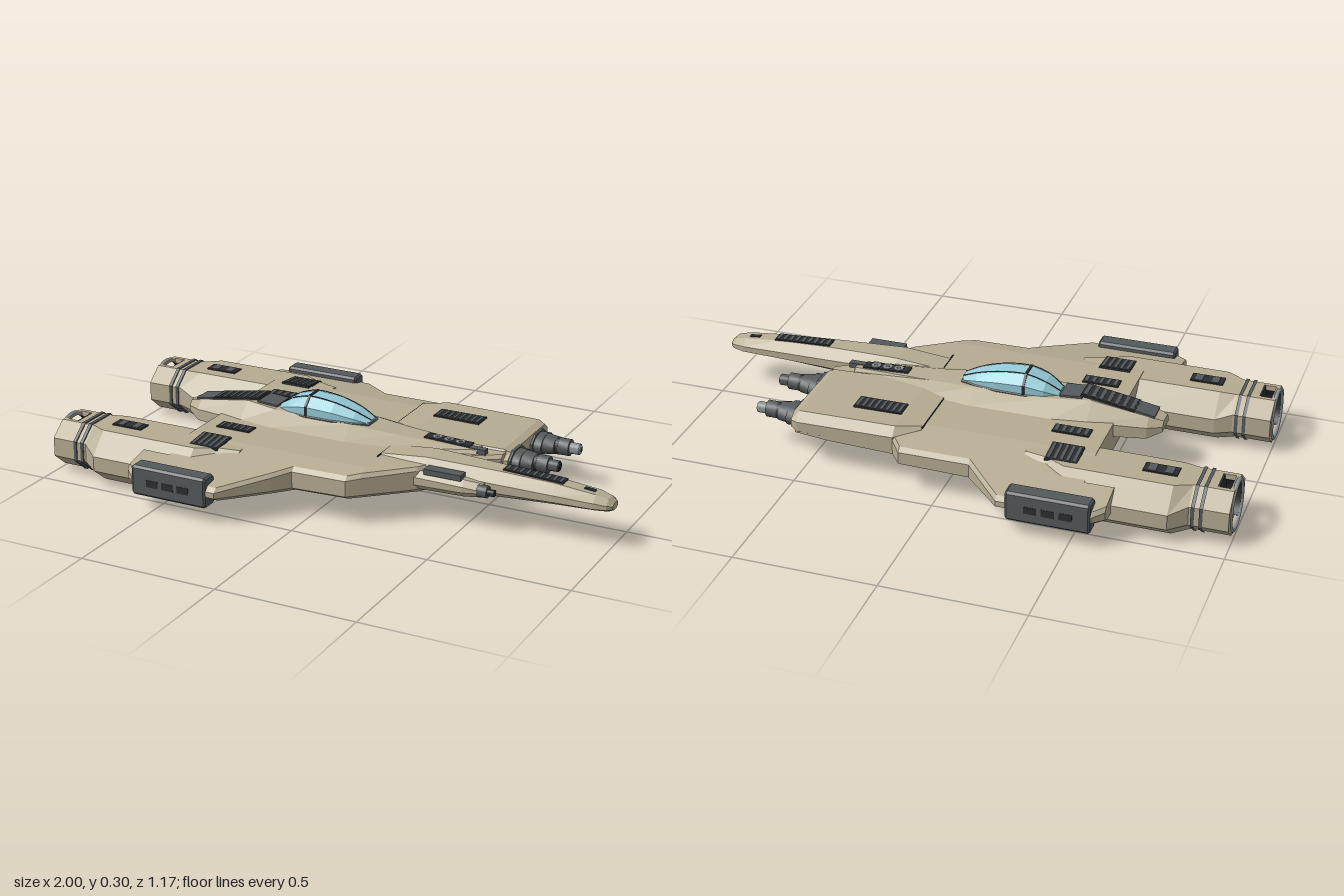
import * as THREE from 'three';
import { toCreasedNormals } from 'three/addons/utils/BufferGeometryUtils.js';

const mat = (name, color, side = THREE.FrontSide) => {
  const m = new THREE.MeshStandardMaterial({ color, side });
  m.name = name;
  return m;
};

// Flat-faced skin through rings of [x, y, z] points, with fan caps at both ends
function loft(rings, capStart = true, capEnd = true) {
  const pos = [];
  const tri = (a, b, c) => pos.push(...a, ...b, ...c);
  const n = rings[0].length;
  const middle = r => [0, 1, 2].map(k => r.reduce((s, p) => s + p[k], 0) / n);
  for (let i = 0; i < rings.length - 1; i++) for (let j = 0; j < n; j++) {
    const k = (j + 1) % n, a = rings[i], b = rings[i + 1];
    tri(a[j], b[j], b[k]);
    tri(a[j], b[k], a[k]);
  }
  const first = rings[0], last = rings[rings.length - 1];
  for (let j = 0; j < n; j++) {
    const k = (j + 1) % n;
    if (capStart) tri(middle(first), first[j], first[k]);
    if (capEnd) tri(middle(last), last[k], last[j]);
  }
  const g = new THREE.BufferGeometry();
  g.setAttribute('position', new THREE.Float32BufferAttribute(pos, 3));
  g.computeVertexNormals();
  return g;
}

// Eight-sided section: z range, y range, corner cuts across z, lower and upper corner cuts in y
function oct(x, z0, z1, y0, y1, cz, cyLow, cyHigh = cyLow) {
  return [[x, y0, z1 - cz], [x, y0 + cyLow, z1], [x, y1 - cyHigh, z1], [x, y1, z1 - cz],
    [x, y1, z0 + cz], [x, y1 - cyHigh, z0], [x, y0 + cyLow, z0], [x, y0, z0 + cz]];
}

export function createModel() {
  const model = new THREE.Group();
  model.name = 'spacecraft';
  const tan = mat('hullTan', 0xb6ac92);
  const grey = mat('metalGrey', 0x54595b);
  const dark = mat('ventDark', 0x2b2e30, THREE.DoubleSide);
  const light = mat('lightMetal', 0x8d9396);
  const glass = mat('canopyGlass', 0x95cbd8);
  const glow = mat('lensCyan', 0x9fe3ea);

  const add = (name, geo, m, parent = model) => {
    const mesh = new THREE.Mesh(geo, m);
    mesh.name = name;
    parent.add(mesh);
    return mesh;
  };
  const box = (name, m, x, y, z, l, h, w, parent) => {
    const b = add(name, new THREE.BoxGeometry(l, h, w), m, parent);
    b.position.set(x, y, z);
    return b;
  };
  // Round part along x, optionally widened across z
  const cyl = (name, m, x0, x1, y, z, r0, r1 = r0, wide = 1) => {
    const g = new THREE.CylinderGeometry(r1, r0, x1 - x0, 16).rotateZ(-Math.PI / 2).scale(1, 1, wide);
    add(name, toCreasedNormals(g, 0.7), m).position.set((x0 + x1) / 2, y, z);
  };
  // Flat shape in the (z, y) plane, given thickness from x0 to x1
  const slab = (shape, x0, x1) =>
    new THREE.ExtrudeGeometry(shape, { depth: x1 - x0, bevelEnabled: false, curveSegments: 20 })
      .rotateY(-Math.PI / 2).translate(x1, 0, 0);
  // Dark recess plate crossed by grey slats
  const vent = (name, x, y, z, l, w, n, tiltZ = 0, tiltX = 0) => {
    const v = new THREE.Group();
    v.name = name;
    v.position.set(x, y, z);
    v.rotation.set(tiltX, 0, tiltZ);
    box('ventPlate', dark, 0, 0, 0, l, 0.008, w, v);
    for (let i = 0; i < n; i++)
      box('ventSlat', grey, ((i + 0.5) / n - 0.5) * l, 0.004, 0, (l / n) * 0.45, 0.004, w * 0.86, v);
    model.add(v);
  };

  // Main hull: stations of x, right edge, left edge, underside height
  const top = z => 0.19 - 0.06 * Math.max(0, (Math.abs(z) - 0.3) / 0.28);
  const hullRing = ([x, r, l, yb]) => {
    const shoulderL = Math.min(0.3, l - 0.03), shoulderR = Math.max(-0.3, r + 0.03);
    return [[x, yb, l - 0.025], [x, yb + 0.015, l], [x, top(l) - 0.012, l], [x, top(l - 0.015), l - 0.015],
      [x, 0.19, shoulderL], [x, 0.19, shoulderR],
      [x, top(r + 0.015), r + 0.015], [x, top(r) - 0.012, r], [x, yb + 0.015, r], [x, yb, r + 0.025]];
  };
  add('mainHull', loft([[-0.51, -0.58, 0.58, 0.083], [-0.25, -0.58, 0.58, 0.083], [-0.11, -0.44, 0.44, 0.085],
    [-0.06, -0.44, 0.385, 0.086], [0.14, -0.44, 0.38, 0.09], [0.18, -0.39, 0.35, 0.092],
    [0.33, -0.39, 0.23, 0.097], [0.42, -0.39, 0.08, 0.1], [0.54, -0.385, 0.0, 0.108]].map(hullRing)), tan);

  // Raised forward block beside the prong
  add('forwardBlock', loft([oct(0.095, -0.33, 0.0, 0.12, 0.194, 0.01, 0.01), oct(0.18, -0.39, 0.0, 0.11, 0.2, 0.03, 0.02, 0.03),
    oct(0.53, -0.39, -0.015, 0.11, 0.196, 0.03, 0.02, 0.03), oct(0.555, -0.38, -0.02, 0.12, 0.186, 0.03, 0.02)]), tan);
  box('blockSeam', dark, 0.094, 0.191, -0.2, 0.004, 0.006, 0.26);
  box('prongRootSeam', dark, 0.17, 0.191, 0.13, 0.004, 0.006, 0.14);

  // Cockpit spine
  const spine = [[-0.67, 0.04, 0.025, 0.16, 0.178, 0.195], [-0.62, 0.068, 0.04, 0.14, 0.18, 0.21],
    [-0.42, 0.11, 0.05, 0.14, 0.188, 0.243], [-0.3, 0.128, 0.062, 0.14, 0.19, 0.234],
    [0, 0.13, 0.062, 0.14, 0.19, 0.228], [0.17, 0.105, 0.045, 0.14, 0.19, 0.216], [0.46, 0.03, 0.022, 0.14, 0.19, 0.205]];
  add('cockpitSpine', loft(spine.map(([x, w, wt, y0, ym, y1]) =>
    [[x, y0, w], [x, ym, w], [x, y1, wt], [x, y1, -wt], [x, ym, -w], [x, y0, -w]])), tan);
  box('rearDeckTail', grey, -0.605, 0.214, 0, 0.07, 0.008, 0.075).rotation.z = 0.165;
  vent('rearDeckVent', -0.475, 0.2365, 0, 0.195, 0.085, 7, 0.165);
  box('rearDeckPlate', grey, -0.345, 0.24, 0, 0.08, 0.009, 0.09).rotation.z = -0.075;
  // Row of round lenses on the spine
  box('spineInstrumentPlate', dark, 0.345, 0.2115, 0, 0.17, 0.007, 0.042).rotation.z = -0.038;
  for (const x of [0.302, 0.345, 0.388]) {
    const y = 0.2165 - (x - 0.3) * 0.038;
    add('spineLens', new THREE.CylinderGeometry(0.0175, 0.0175, 0.006, 16), light).position.set(x, y, 0);
    add('spineLensCore', new THREE.CylinderGeometry(0.008, 0.008, 0.008, 12), grey).position.set(x, y, 0);
  }
  box('spineSensor', grey, 0.46, 0.198, 0.01, 0.06, 0.02, 0.025);

  // Canopy with frame hoop, sill and ridge bars
  const canopy = [[-0.3, 0.036, 0.243], [-0.25, 0.06, 0.275], [-0.18, 0.066, 0.295], [-0.08, 0.064, 0.287],
    [0, 0.052, 0.265], [0.055, 0.032, 0.24]];
  const canopyRing = (x, w, y) => oct(x, -w, w, 0.215, y, w * 0.5, 0.01, (y - 0.215) * 0.4);
  add('canopyGlass', loft(canopy.map(p => canopyRing(...p))), glass);
  add('canopyHoop', loft([canopyRing(-0.184, 0.068, 0.298), canopyRing(-0.175, 0.068, 0.298)]), dark);
  add('canopySill', loft(canopy.map(([x, w]) => oct(x, -w - 0.004, w + 0.004, 0.2, 0.234, 0.006, 0.005))), grey);
  for (const s of [1, -1]) {
    const path = new THREE.CatmullRomCurve3(canopy.map(([x, w, y]) => new THREE.Vector3(x, y, s * w * 0.5)));
    add('canopyRidgeBar', new THREE.TubeGeometry(path, 16, 0.0018, 5), dark);
  }

  // Long nose prong on the left
  add('noseProng', loft([oct(0.17, 0.05, 0.2, 0.1, 0.194, 0.03, 0.02, 0.03), oct(0.34, 0.05, 0.2, 0.1, 0.21, 0.03, 0.02, 0.035),
    oct(0.6, 0.057, 0.192, 0.112, 0.204, 0.035, 0.025, 0.035), oct(0.8, 0.062, 0.185, 0.121, 0.195, 0.035, 0.02, 0.03),
    oct(0.94, 0.068, 0.178, 0.126, 0.181, 0.03, 0.015, 0.02), oct(0.983, 0.082, 0.167, 0.128, 0.172, 0.025, 0.013, 0.016),
    oct(1, 0.1, 0.15, 0.134, 0.158, 0.015, 0.007)]), tan);
  vent('prongVent', 0.715, 0.199, 0.12, 0.215, 0.048, 9, -0.045);
  box('prongTipSlot', dark, 0.91, 0.184, 0.12, 0.04, 0.006, 0.016).rotation.z = -0.1;

  // Small gun beside the prong
  add('sideGunFairing', loft([oct(0.2, 0.17, 0.2, 0.12, 0.17, 0.01, 0.01), oct(0.31, 0.17, 0.235, 0.11, 0.178, 0.02, 0.02),
    oct(0.5, 0.17, 0.235, 0.115, 0.175, 0.02, 0.02), oct(0.565, 0.17, 0.225, 0.12, 0.168, 0.02, 0.02)]), tan);
  box('sideGunCover', grey, 0.425, 0.182, 0.209, 0.135, 0.02, 0.04);
  cyl('sideGunCollar', grey, 0.55, 0.585, 0.145, 0.21, 0.021);
  cyl('sideGunBarrel', dark, 0.585, 0.61, 0.145, 0.212, 0.012);

  // Twin main guns
  for (const [z, y] of [[-0.095, 0.149], [-0.29, 0.141]]) {
    add('gunHousing', loft([oct(0.5, z - 0.072, z + 0.072, y - 0.04, y + 0.04, 0.035, 0.025),
      oct(0.562, z - 0.07, z + 0.07, y - 0.039, y + 0.039, 0.035, 0.025)]), grey);
    cyl('gunBase', grey, 0.545, 0.59, y, z, 0.036, 0.036, 1.65);
    cyl('gunTaper', grey, 0.59, 0.63, y, z, 0.035, 0.03, 1.4);
    cyl('gunBand', dark, 0.63, 0.64, y, z, 0.031);
    cyl('gunSleeve', grey, 0.64, 0.68, y, z, 0.03);
    cyl('gunMuzzle', z < -0.2 ? light : grey, 0.68, 0.715, y, z, 0.02);
    cyl('gunLens', z < -0.2 ? glow : dark, 0.714, 0.718, y, z, 0.016);
    cyl('gunBore', dark, 0.716, 0.72, y, z, 0.008);
  }
  vent('blockVent', 0.275, 0.2, -0.245, 0.175, 0.072, 8);

  for (const s of [1, -1]) {
    const side = s > 0 ? 'left' : 'right';
    const o = (x, a, b, ...rest) => oct(x, Math.min(s * a, s * b), Math.max(s * a, s * b), ...rest);

    // Wing tip behind the hull edge, following the hull slope
    const tipRing = (x, edge) => {
      const r = [[0.083, edge - 0.025], [0.098, edge], [top(edge) - 0.012, edge], [top(edge - 0.015), edge - 0.015],
        [top(0.44), 0.44], [0.083, 0.44]].map(([y, z]) => [x, y, s * z]);
      return s > 0 ? r : r.reverse();
    };
    add(side + 'WingTip', loft([tipRing(-0.612, 0.545), tipRing(-0.575, 0.58), tipRing(-0.51, 0.58)]), tan);

    // Wing tip pod with dark slots
    add(side + 'WingPod', loft([o(-0.572, 0.525, 0.58, 0.06, 0.158, 0.006, 0.006), o(-0.565, 0.52, 0.585, 0.055, 0.163, 0.008, 0.008),
      o(-0.29, 0.52, 0.585, 0.055, 0.163, 0.008, 0.008), o(-0.283, 0.525, 0.58, 0.06, 0.158, 0.006, 0.006)]), grey);
    for (const x of [-0.49, -0.43, -0.37]) box('podSlot', dark, x, 0.106, s * 0.5845, 0.045, 0.025, 0.004);

    // Engine nacelle
    const rear = x => o(x, 0.2, 0.435, 0.014, 0.182, 0.06, 0.05);
    add(side + 'Engine', loft([rear(-0.935), rear(-0.86),
      o(-0.8, 0.183, 0.477, 0.002, 0.186, 0.07, 0.055, 0.075), o(-0.43, 0.183, 0.477, 0.002, 0.187, 0.07, 0.055, 0.075),
      o(-0.36, 0.21, 0.43, 0.04, 0.187, 0.06, 0.04, 0.06), o(-0.28, 0.25, 0.39, 0.085, 0.184, 0.04, 0.03)], false), tan);
    for (const x of [-0.902, -0.874])
      add(side + 'EngineBand', loft([o(x - 0.006, 0.196, 0.439, 0.01, 0.186, 0.061, 0.051),
        o(x + 0.006, 0.196, 0.439, 0.01, 0.186, 0.061, 0.051)]
        .concat([o(x + 0.006, 0.21, 0.425, 0.02, 0.174, 0.06, 0.05)]), false, false), grey);

    // Nozzle: end collar and cheeks leave open slots above and below
    const nozzle = new THREE.Group();
    nozzle.name = side + 'Nozzle';
    nozzle.position.set(0, 0.098, s * 0.3175);
    model.add(nozzle);
    const outline = oct(0, -0.1175, 0.1175, -0.084, 0.084, 0.06, 0.05).map(p => new THREE.Vector2(p[2], p[1]));
    const collar = new THREE.Shape(outline);
    collar.holes.push(new THREE.Path().absarc(0, 0, 0.079, 0, Math.PI * 2, true));
    add('nozzleCollar', slab(collar, -0.994, -0.979), tan, nozzle);
    const cheek = new THREE.Shape();
    cheek.moveTo(0.042, 0.084).lineTo(0.0575, 0.084).lineTo(0.1175, 0.034).lineTo(0.1175, -0.034)
      .lineTo(0.0575, -0.084).lineTo(0.042, -0.084).absarc(0, 0, 0.079, -1.01, 1.01, false);
    const liner = new THREE.Shape().absarc(0, 0, 0.0795, -1.01, 1.01, false).absarc(0, 0, 0.0765, 1.01, -1.01, true);
    for (const turn of [0, Math.PI]) {
      add('nozzleCheek', slab(cheek, -0.979, -0.935).rotateX(turn), tan, nozzle);
      add('nozzleLiner', slab(liner, -0.993, -0.935).rotateX(turn), dark, nozzle);
    }
    add('nozzleBackWall', loft([oct(-0.942, -0.115, 0.115, -0.082, 0.082, 0.06, 0.05),
      oct(-0.934, -0.115, 0.115, -0.082, 0.082, 0.06, 0.05)]), dark, nozzle);
    add('nozzleRim', new THREE.TorusGeometry(0.0855, 0.008, 8, 28).rotateY(Math.PI / 2), light, nozzle).position.x = -0.992;

    // Vents over engine and wing
    vent(side + 'EngineVent', -0.74, 0.187, s * 0.325, 0.118, 0.052, 2);
    vent(side + 'WingVent', -0.41, 0.188, s * 0.33, 0.112, 0.1, 5, 0, s * 0.1);
    vent(side + 'InnerVent', -0.392, 0.191, s * 0.183, 0.13, 0.05, 5);
    // Underside panel seams
    box('bellySeam', dark, 0.05, 0.0877, s * 0.07, 0.3, 0.004, 0.0025).rotation.z = 0.02;
  }
  for (const x of [-0.1, 0.05, 0.2]) box('bellyCrossSeam', dark, x, 0.0875 + x * 0.02, 0, 0.0025, 0.006, 0.14);

  return model;
}
